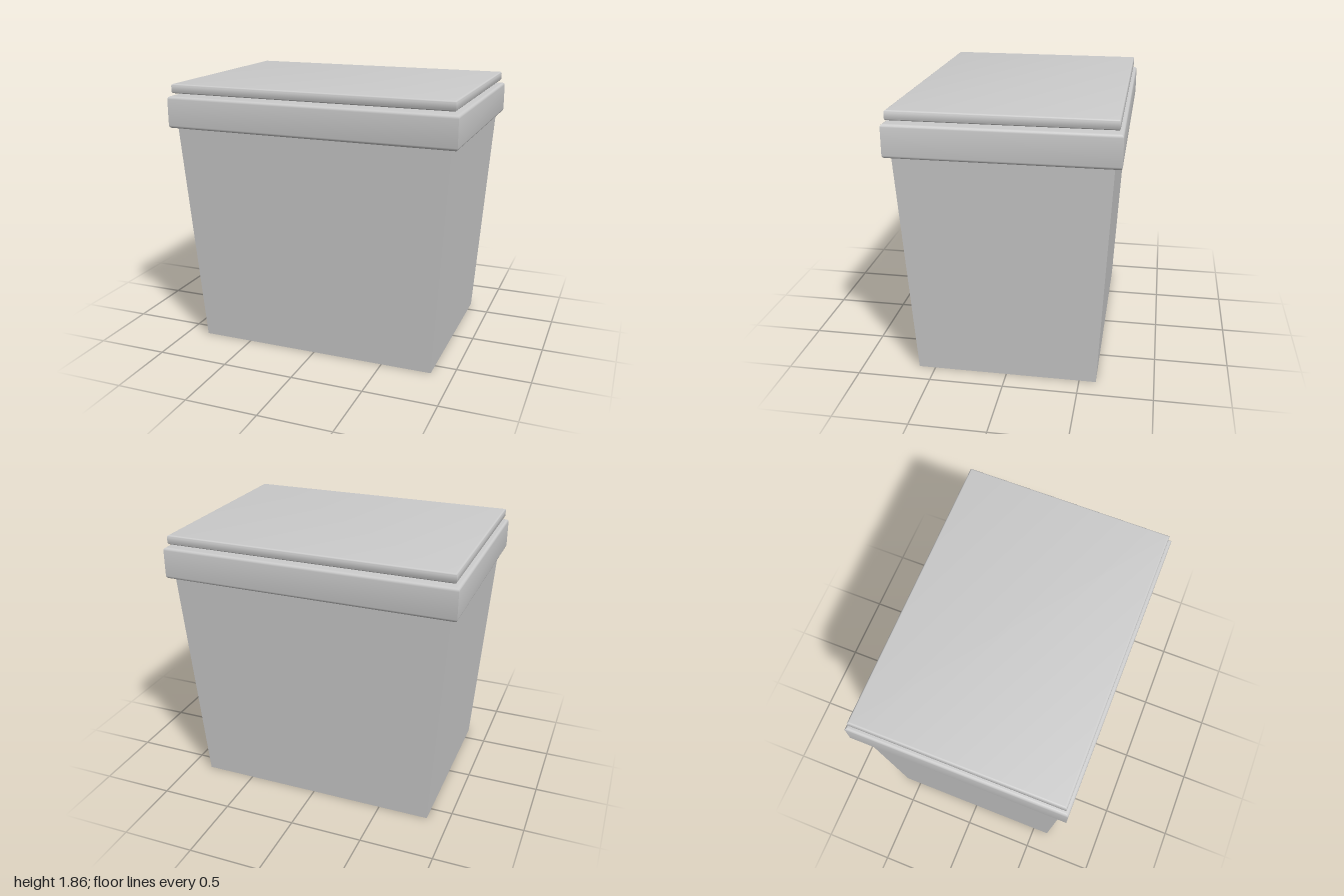
import * as THREE from 'three';
import { toCreasedNormals } from 'three/addons/utils/BufferGeometryUtils.js';

// Solid made of stacked rectangles with mitred corners; each ring is [halfX, halfZ, y], bottom to top.
function stackedRings(rings) {
  const pos = [];
  const corners = ([x, z, y]) => [[x, y, z], [x, y, -z], [-x, y, -z], [-x, y, z]];
  const quad = (a, b, c, d) => pos.push(...a, ...b, ...c, ...a, ...c, ...d);
  for (let i = 0; i < rings.length - 1; i++) {
    const lo = corners(rings[i]), hi = corners(rings[i + 1]);
    for (let k = 0; k < 4; k++) {
      const n = (k + 1) % 4;
      quad(lo[k], lo[n], hi[n], hi[k]);
    }
  }
  const bottom = corners(rings[0]), top = corners(rings[rings.length - 1]);
  quad(bottom[3], bottom[2], bottom[1], bottom[0]);
  quad(top[0], top[1], top[2], top[3]);
  const geo = new THREE.BufferGeometry();
  geo.setAttribute('position', new THREE.Float32BufferAttribute(pos, 3));
  return toCreasedNormals(geo, 0.6);
}

// Rings of a slab whose upper and lower edges are rounded by radius r.
function roundedSlab(hx, hz, y0, y1, r, steps = 4) {
  const rings = [];
  for (const [cy, start] of [[y0 + r, -Math.PI / 2], [y1 - r, 0]]) {
    for (let i = 0; i <= steps; i++) {
      const a = start + (i / steps) * Math.PI / 2;
      const inset = r * (1 - Math.cos(a));
      rings.push([hx - inset, hz - inset, cy + r * Math.sin(a)]);
    }
  }
  return rings;
}

export function createModel() {
  const group = new THREE.Group();
  const material = new THREE.MeshStandardMaterial({ color: 0xcccccc });
  const add = (name, rings) => {
    const mesh = new THREE.Mesh(stackedRings(rings), material);
    mesh.name = name;
    group.add(mesh);
  };

  // Tapered bin
  add('body', [[0.85, 0.613, 0], [0.955, 0.69, 1.565]]);
  // Collar with a gently sloping top
  add('rim', [...roundedSlab(1, 0.735, 1.557, 1.775, 0.02), [0.855, 0.595, 1.786]]);
  // Recessed neck between collar and lid
  add('neck', [[0.855, 0.595, 1.78], [0.855, 0.595, 1.8]]);
  // Flat cover
  add('lid', roundedSlab(0.977, 0.713, 1.792, 1.857, 0.015));

  return group;
}
